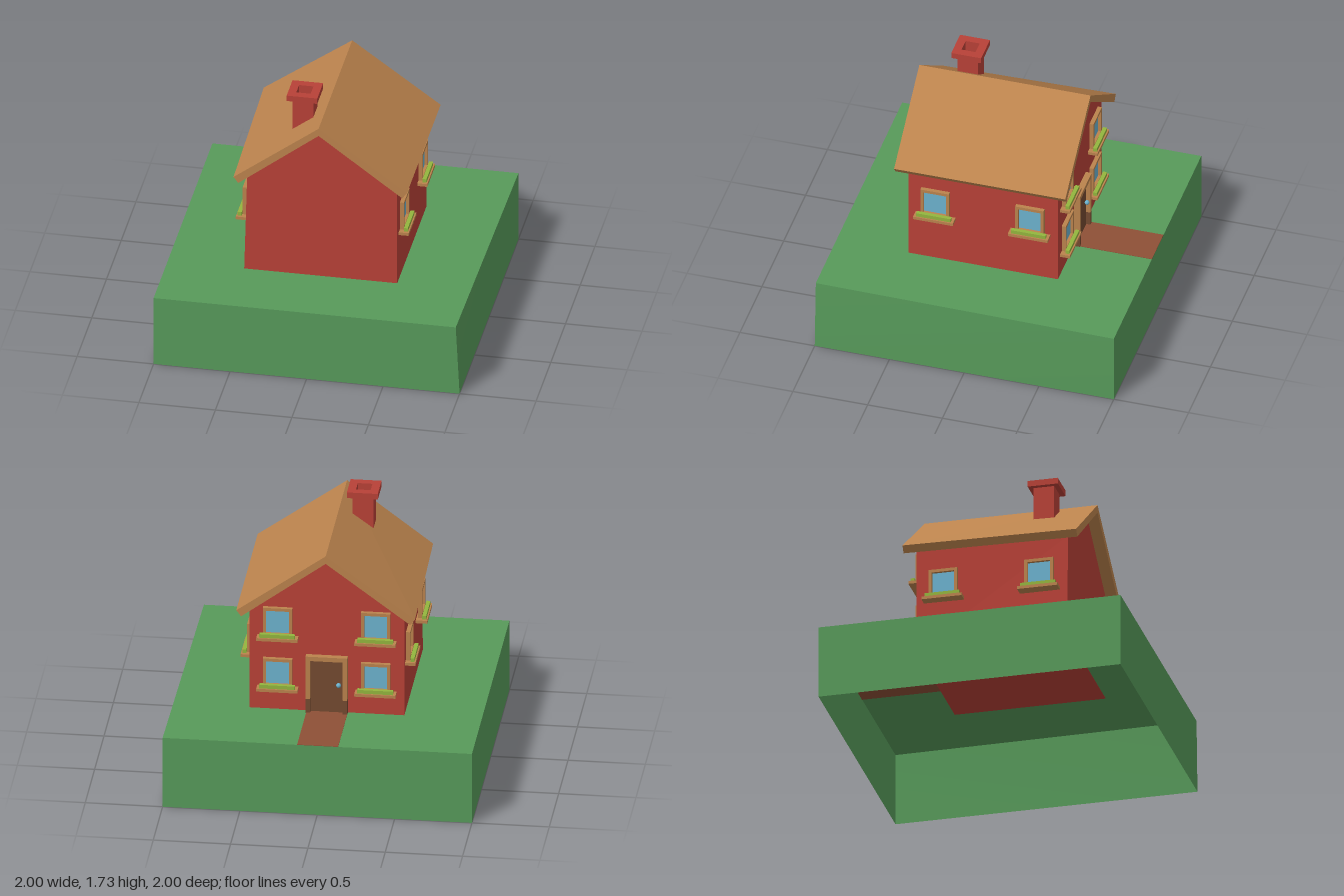
import * as THREE from 'three';

const mat = (name, color, extra = {}) => {
  const m = new THREE.MeshStandardMaterial({ color, ...extra });
  m.name = name;
  return m;
};

export function createModel() {
  const grass = mat('grass green', 0x579a5a, { side: THREE.DoubleSide });
  const brick = mat('brick red', 0xb84137);
  const wood = mat('light wood', 0xbb834d);
  const earth = mat('path brown', 0x8e5036);
  const doorBrown = mat('door brown', 0x744a30);
  const glassBlue = mat('glass blue', 0x6cb2ce);
  const leaf = mat('leaf green', 0x93b53e);

  const root = new THREE.Group();
  root.name = 'house';

  const add = (parent, name, geometry, material) => {
    const mesh = new THREE.Mesh(geometry, material);
    mesh.name = name;
    parent.add(mesh);
    return mesh;
  };
  // Box given by its minimum and maximum corners
  const box = (x0, x1, y0, y1, z0, z1) =>
    new THREE.BoxGeometry(x1 - x0, y1 - y0, z1 - z0)
      .translate((x0 + x1) / 2, (y0 + y1) / 2, (z0 + z1) / 2);
  const polygon = (points) => new THREE.Shape(points.map(([x, y]) => new THREE.Vector2(x, y)));
  const rect = (x0, x1, y0, y1) => [[x0, y0], [x1, y0], [x1, y1], [x0, y1]];
  const extrude = (shape, depth) => new THREE.ExtrudeGeometry(shape, { depth, bevelEnabled: false });
  const ring = (outer, inner, depth) => {
    const shape = polygon(outer);
    shape.holes.push(polygon(inner));
    return extrude(shape, depth);
  };
  // Shift the vertices that meet a condition, for slightly crooked corners
  const nudge = (geometry, test, dx, dy = 0) => {
    const p = geometry.attributes.position;
    for (let i = 0; i < p.count; i++) {
      if (test(p.getX(i), p.getY(i), p.getZ(i))) p.setXY(i, p.getX(i) + dx, p.getY(i) + dy);
    }
    geometry.computeVertexNormals();
    return geometry;
  };

  // Ground block, open underneath, with one crooked top corner
  const ground = nudge(box(-1, 1, 0, 0.49, -1, 1), (x, y, z) => x > 0 && y > 0.4 && z > 0, -0.025);
  const faces = Array.from(ground.index.array);
  faces.splice(18, 6);
  ground.setIndex(faces);
  ground.clearGroups();
  add(root, 'ground', ground, grass);
  add(root, 'path', box(-0.135, 0.13, 0.488, 0.493, -1, -0.48), earth);

  // Walls with gables
  const walls = extrude(polygon([[-0.5, 0.489], [0.5, 0.489], [0.5, 1.2], [0, 1.57], [-0.5, 1.2]]), 1)
    .translate(0, 0, -0.48);
  add(root, 'walls', nudge(walls, (x, y, z) => x < -0.4 && y > 1 && z > 0, 0.02), brick);

  // Pitched roof, drawn in a little at the front of one eave
  const roof = extrude(polygon([
    [-0.578, 1.21], [-0.547, 1.168], [0, 1.572], [0.547, 1.168], [0.578, 1.21], [0, 1.625],
  ]), 1.145).translate(0, 0, -0.552);
  add(root, 'roof', nudge(roof, (x, y, z) => x < -0.4 && z > 0, 0.022, -0.004), wood);

  // Chimney with a hollow cap
  const chimney = new THREE.Group();
  chimney.name = 'chimney';
  chimney.position.set(-0.147, 0, 0.293);
  root.add(chimney);
  const square = (r) => rect(-r, r, -r, r);
  add(chimney, 'chimneyFlue', box(-0.068, 0.068, 1.4, 1.65, -0.068, 0.068), brick);
  add(chimney, 'chimneyNeck',
    ring(square(0.068), square(0.047), 0.04).rotateX(-Math.PI / 2).translate(0, 1.65, 0), brick);
  add(chimney, 'chimneyCap',
    ring(square(0.1), square(0.047), 0.04).rotateX(-Math.PI / 2).translate(0, 1.69, 0), brick);

  // Window: origin at the bottom of the sill, on the wall, facing local +z
  const addWindow = (x, y, z, turn) => {
    const g = new THREE.Group();
    g.name = 'window';
    g.position.set(x, y, z);
    g.rotation.y = turn;
    add(g, 'windowFrame',
      ring(rect(-0.095, 0.095, 0.02, 0.22), rect(-0.075, 0.075, 0.04, 0.2), 0.027), wood);
    add(g, 'windowGlass', box(-0.076, 0.076, 0.039, 0.201, 0, 0.008), glassBlue);
    add(g, 'windowSill', box(-0.133, 0.133, 0, 0.02, -0.01, 0.065), wood);
    add(g, 'windowPlants', box(-0.115, 0.115, 0.02, 0.045, 0.03, 0.056), leaf);
    root.add(g);
  };
  for (const s of [-1, 1]) {
    for (const side of [-1, 1]) addWindow(side * 0.5, 0.82, 0.02 + s * 0.317, side * Math.PI / 2);
    for (const y of [0.635, 0.995]) addWindow(s * 0.317, y, -0.48, Math.PI);
  }

  // Door in the back gable
  const door = new THREE.Group();
  door.name = 'door';
  door.position.set(0, 0.49, -0.48);
  door.rotation.y = Math.PI;
  root.add(door);
  add(door, 'doorPanel', box(-0.106, 0.106, 0, 0.371, -0.01, 0.012), doorBrown);
  add(door, 'doorLintel', box(-0.135, 0.135, 0.37, 0.4, -0.01, 0.04), wood);
  for (const s of [-1, 1]) {
    const [x0, x1] = s < 0 ? [-0.135, -0.105] : [0.105, 0.135];
    add(door, 'doorPost', box(x0, x1, 0.1, 0.37, -0.01, 0.04), wood);
    add(door, 'doorPostFoot', box(x0, x1, 0, 0.1, -0.01, 0.04), doorBrown);
  }
  const knob = add(door, 'doorKnob', new THREE.SphereGeometry(0.016, 12, 8), glassBlue);
  knob.position.set(0.078, 0.2, 0.026);

  return root;
}
